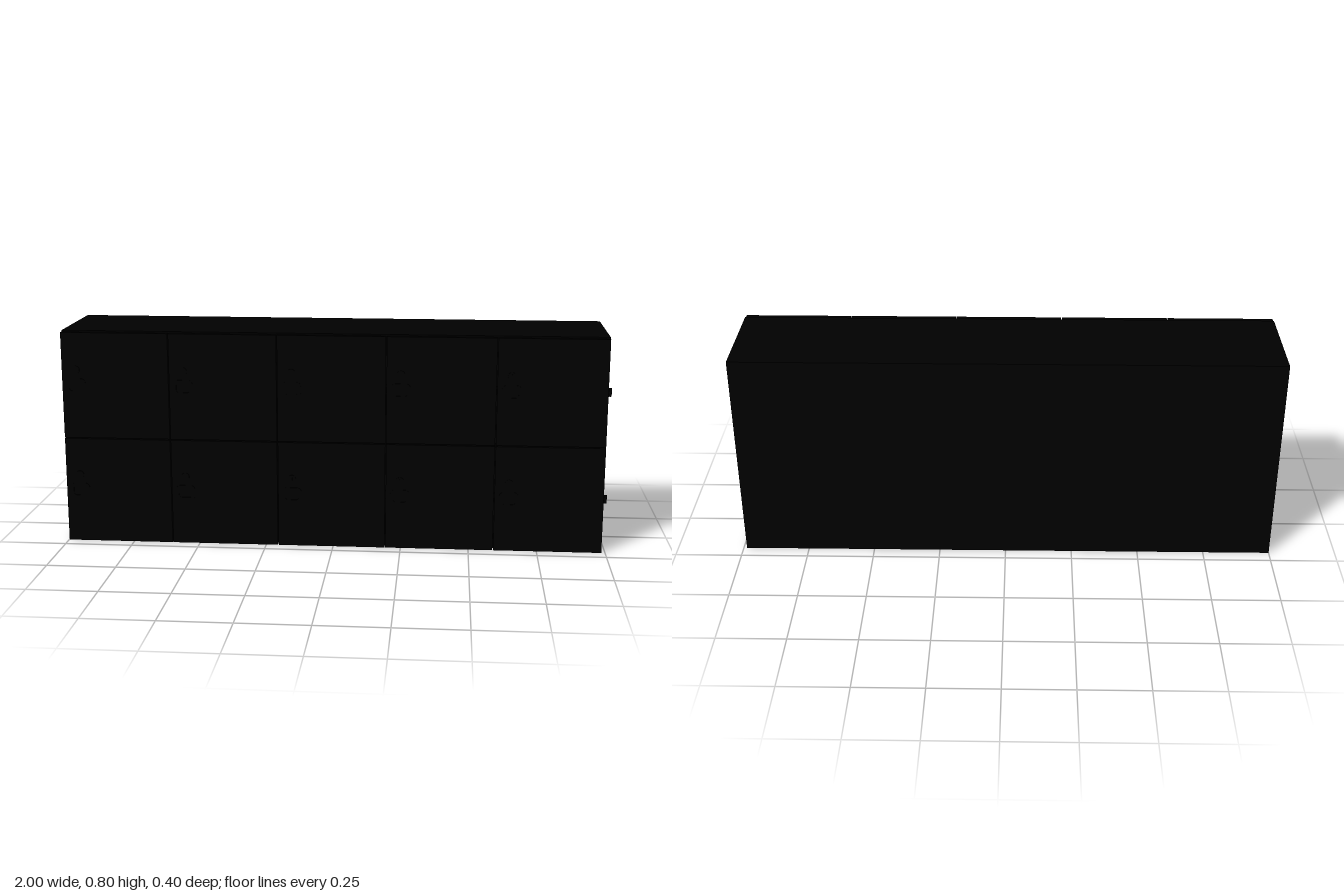
import * as THREE from 'three';

const COLUMNS = 5, ROWS = 2;
const LEFT = -1, RIGHT = 0.988, HEIGHT = 0.795;
const BACK = -0.2, FRONT = 0.175;
const W = (RIGHT - LEFT) / COLUMNS, H = HEIGHT / ROWS;
const WALL = 0.006;

const black = new THREE.MeshStandardMaterial({ color: 0x000000 });

function add(parent, name, geometry, x, y, z) {
  const mesh = new THREE.Mesh(geometry, black);
  mesh.name = name;
  mesh.position.set(x, y, z);
  parent.add(mesh);
  return mesh;
}

// Rectangle with rounded corners, centred on the origin
function roundedRect(Type, w, h, r) {
  const s = new Type();
  const x = w / 2, y = h / 2;
  s.moveTo(-x + r, -y);
  s.lineTo(x - r, -y);
  s.absarc(x - r, -y + r, r, -Math.PI / 2, 0);
  s.lineTo(x, y - r);
  s.absarc(x - r, y - r, r, 0, Math.PI / 2);
  s.lineTo(-x + r, y);
  s.absarc(-x + r, y - r, r, Math.PI / 2, Math.PI);
  s.lineTo(-x, -y + r);
  s.absarc(-x + r, -y + r, r, Math.PI, Math.PI * 1.5);
  return s;
}

// Open-fronted shell: four walls and a back panel
function shellGeometry() {
  const outer = new THREE.Shape([
    new THREE.Vector2(-W / 2, -H / 2), new THREE.Vector2(W / 2, -H / 2),
    new THREE.Vector2(W / 2, H / 2), new THREE.Vector2(-W / 2, H / 2)]);
  const x = W / 2 - WALL, y = H / 2 - WALL;
  outer.holes.push(new THREE.Path([
    new THREE.Vector2(-x, -y), new THREE.Vector2(-x, y),
    new THREE.Vector2(x, y), new THREE.Vector2(x, -y)]));
  return new THREE.ExtrudeGeometry(outer, { depth: FRONT - BACK, bevelEnabled: false });
}

// Thin pull surround with an open centre
function pullGeometry() {
  const shape = roundedRect(THREE.Shape, 0.07, 0.056, 0.016);
  shape.holes.push(roundedRect(THREE.Path, 0.05, 0.036, 0.01));
  return new THREE.ExtrudeGeometry(shape, { depth: 0.003, bevelEnabled: false, curveSegments: 6 });
}

export function createModel() {
  const model = new THREE.Group();
  model.name = 'lockerBank';

  const shell = shellGeometry();
  const backPanel = new THREE.BoxGeometry(W, H, WALL);
  const door = new THREE.BoxGeometry(W - 0.003, H - 0.004, 0.019);
  const pull = pullGeometry();
  const lock = new THREE.CylinderGeometry(0.015, 0.015, 0.006, 20).rotateX(Math.PI / 2);
  const keySlot = new THREE.BoxGeometry(0.003, 0.014, 0.001);
  const leaf = new THREE.BoxGeometry(0.012, 0.03, 0.01);
  const pin = new THREE.CylinderGeometry(0.005, 0.005, 0.03, 12);

  for (let c = 0; c < COLUMNS; c++) {
    for (let r = 0; r < ROWS; r++) {
      const locker = new THREE.Group();
      locker.name = 'locker';
      locker.position.set(LEFT + (c + 0.5) * W, (r + 0.5) * H, 0);
      model.add(locker);

      // Cabinet
      add(locker, 'shell', shell, 0, 0, BACK);
      add(locker, 'backPanel', backPanel, 0, 0, BACK + WALL / 2);

      // Door, standing just clear of the cabinet
      add(locker, 'door', door, 0, -0.002, 0.1905);

      // Pull with lock above it, near the opening edge
      const px = -W / 2 + 0.053;
      add(locker, 'pull', pull, px, -0.004, 0.1995);
      add(locker, 'lock', lock, px, 0.057, 0.2005);
      add(locker, 'keySlot', keySlot, px, 0.057, 0.2037);

      // Hinge on the far edge
      add(locker, 'hingeLeaf', leaf, W / 2 - 0.004, 0, 0.178);
      add(locker, 'hingePin', pin, W / 2 + 0.007, 0, 0.177);
    }
  }
  return model;
}
